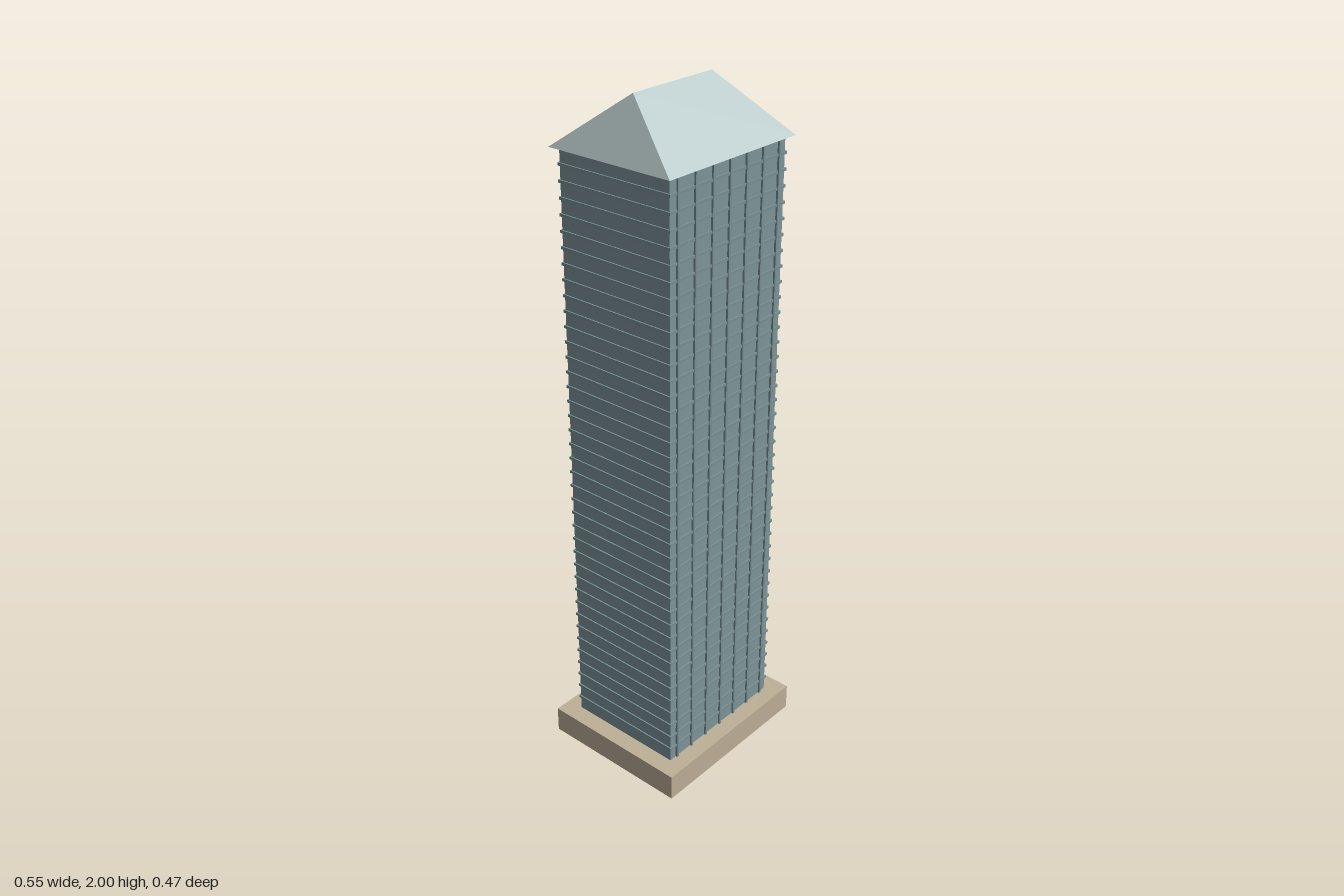
import * as THREE from 'three';
import { ConvexGeometry } from 'three/addons/geometries/ConvexGeometry.js';

const material = (color) => new THREE.MeshStandardMaterial({ color });

export function createModel() {
  const model = new THREE.Group();
  const stone = material(0xbeb098);
  const glass = material(0x7e959a);
  const trim = material(0x7a9297);
  const roofMetal = material(0xb8c8c8);

  const add = (name, geometry, mat, x = 0, y = 0, z = 0, parent = model) => {
    const mesh = new THREE.Mesh(geometry, mat);
    mesh.name = name;
    mesh.position.set(x, y, z);
    parent.add(mesh);
    return mesh;
  };

  const baseTop = 0.08, eaves = 1.85, height = eaves - baseTop;
  const halfX = 0.222, halfZ = 0.182;

  // Plinth and tower body
  add('plinth', new THREE.BoxGeometry(0.55, baseTop, 0.466), stone, 0, baseTop / 2);
  add('towerBody', new THREE.BoxGeometry(halfX * 2, height, halfZ * 2), glass, 0, baseTop + height / 2);

  // Thin floor bands wrapping the tower
  const bands = new THREE.Group();
  bands.name = 'floorBands';
  model.add(bands);
  const floors = 40;
  const bandGeometry = new THREE.BoxGeometry(halfX * 2 + 0.008, 0.008, halfZ * 2 + 0.008);
  for (let i = 1; i < floors; i++) {
    add('floorBand', bandGeometry, trim, 0, baseTop + (height * i) / floors, 0, bands);
  }

  // Vertical mullions on the front and back
  const mullions = new THREE.Group();
  mullions.name = 'mullions';
  model.add(mullions);
  const mullionGeometry = new THREE.BoxGeometry(0.007, height, 0.012);
  for (const side of [-1, 1]) {
    for (let i = -3; i <= 3; i++) {
      add('mullion', mullionGeometry, trim, i * 0.065, baseTop + height / 2, side * halfZ, mullions);
    }
  }

  // Hipped roof with a ridge along x
  const points = [];
  for (const sx of [-1, 1]) {
    points.push(new THREE.Vector3(sx * 0.147, 2, 0));
    for (const sz of [-1, 1]) points.push(new THREE.Vector3(sx * 0.242, eaves, sz * 0.2));
  }
  add('hippedRoof', new ConvexGeometry(points), roofMetal);

  return model;
}
